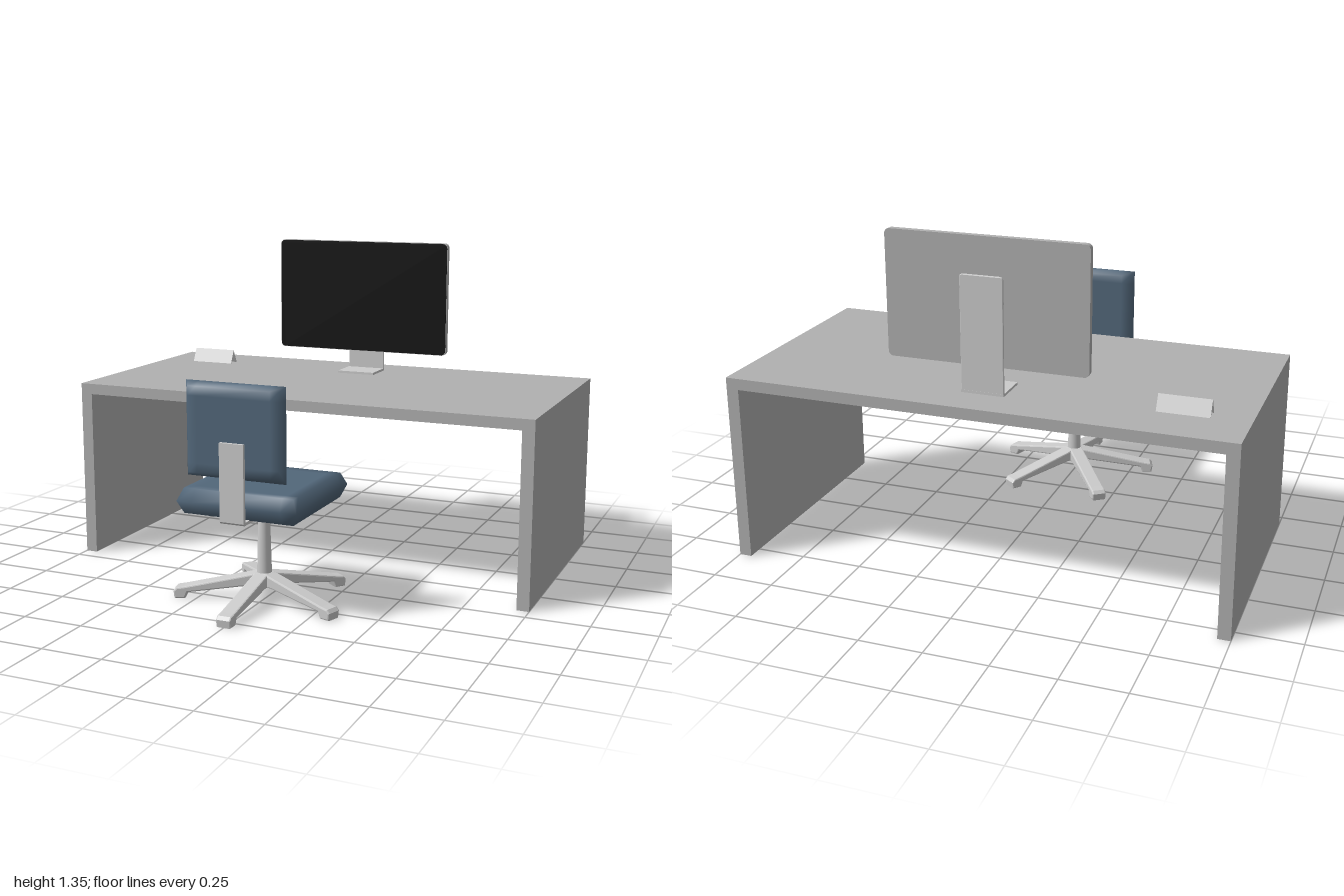
import * as THREE from 'three';
import { mergeVertices } from 'three/addons/utils/BufferGeometryUtils.js';

const grey = new THREE.MeshStandardMaterial({ color: 0xcccccc });
const deskGrey = new THREE.MeshStandardMaterial({ color: 0xb0b0b0 });
const black = new THREE.MeshStandardMaterial({ color: 0x0a0a0a });
const fabric = new THREE.MeshStandardMaterial({ color: 0x52677a });

function add(parent, name, geometry, material, x = 0, y = 0, z = 0) {
  const mesh = new THREE.Mesh(geometry, material);
  mesh.name = name;
  mesh.position.set(x, y, z);
  parent.add(mesh);
  return mesh;
}

// Closed outline extruded symmetrically about its own plane
function slab(outline, depth, bevel = 0) {
  const shape = Array.isArray(outline)
    ? new THREE.Shape(outline.map(([x, y]) => new THREE.Vector2(x, y))) : outline;
  const body = depth - 2 * bevel;
  const geometry = new THREE.ExtrudeGeometry(shape, {
    depth: body, bevelEnabled: bevel > 0, bevelThickness: bevel,
    bevelSize: bevel, bevelOffset: -bevel, bevelSegments: 2, curveSegments: 6,
  });
  return geometry.translate(0, 0, -body / 2);
}

// Side profile given as [z, y], extruded across x
const sideSlab = (outline, width) =>
  slab(outline.map(([z, y]) => [-z, y]), width).rotateY(Math.PI / 2);

function roundedRect(w, h, r) {
  const x = w / 2, y = h / 2, s = new THREE.Shape();
  s.absarc(x - r, y - r, r, 0, Math.PI / 2);
  s.absarc(r - x, y - r, r, Math.PI / 2, Math.PI);
  s.absarc(r - x, r - y, r, Math.PI, Math.PI * 1.5);
  s.absarc(x - r, r - y, r, Math.PI * 1.5, Math.PI * 2);
  return s;
}

// Soft pad: widest at mid height, flat centre, smooth border
function cushion(w, h, d, inset) {
  const geometry = new THREE.BoxGeometry(w, h, d, 3, 2, 3);
  const p = geometry.attributes.position;
  const place = (v, size, flat) => {
    const outer = Math.abs(v) > size * 0.4;
    const half = size / 2 - (outer ? (flat ? inset : 0) : inset * 3);
    return Math.sign(v) * half;
  };
  for (let i = 0; i < p.count; i++) {
    const flat = Math.abs(p.getY(i)) > h * 0.4;
    p.setX(i, place(p.getX(i), w, flat));
    p.setZ(i, place(p.getZ(i), d, flat));
  }
  geometry.deleteAttribute('normal');
  geometry.deleteAttribute('uv');
  const smooth = mergeVertices(geometry);
  smooth.computeVertexNormals();
  return smooth;
}

function createDesk() {
  const desk = new THREE.Group();
  desk.name = 'desk';
  const outline = [[-1, 0], [-0.95, 0], [-0.95, 0.71], [0.95, 0.71],
    [0.95, 0], [1, 0], [1, 0.755], [-1, 0.755]];
  add(desk, 'deskFrame', slab(outline, 1), deskGrey, 0, 0, -0.315);
  return desk;
}

function createMonitor() {
  const monitor = new THREE.Group();
  monitor.name = 'monitor';
  add(monitor, 'monitorCase', slab(roundedRect(0.8, 0.495, 0.02), 0.026), deskGrey, 0, 1.098, -0.602);
  add(monitor, 'screen', slab(roundedRect(0.796, 0.491, 0.02), 0.003), black, 0, 1.098, -0.588);
  add(monitor, 'standFoot', new THREE.BoxGeometry(0.17, 0.01, 0.145), grey, 0, 0.76, -0.588);
  add(monitor, 'standUpright', slab(roundedRect(0.17, 0.455, 0.012), 0.01, 0.003), grey, 0, 0.983, -0.655);
  const mount = new THREE.CylinderGeometry(0.072, 0.038, 0.037, 32).rotateX(Math.PI / 2);
  add(monitor, 'mount', mount, grey, 0, 1.1, -0.633);
  return monitor;
}

function createChair() {
  const chair = new THREE.Group();
  chair.name = 'chair';
  chair.position.z = 0.45;

  // Five-legged base
  const legOutline = [[0, 0.06], [0.06, 0.06], [0.305, 0.025], [0.315, 0],
    [0.358, 0], [0.362, 0.03], [0.35, 0.043], [0.32, 0.048], [0.03, 0.112], [0, 0.114]];
  const legGeometry = slab(legOutline, 0.062, 0.006);
  for (let i = 0; i < 5; i++) {
    const leg = add(chair, 'baseLeg', legGeometry, grey);
    leg.rotation.y = -Math.PI / 2 + (i * Math.PI * 2) / 5;
  }
  add(chair, 'column', new THREE.CylinderGeometry(0.022, 0.031, 0.32, 24), grey, 0, 0.22, 0);

  // Bent bracket from under the seat up to the backrest
  const bracket = [[-0.07, 0.375], [0.272, 0.375], [0.28, 0.383], [0.28, 0.685],
    [0.266, 0.685], [0.266, 0.387], [-0.07, 0.387]];
  add(chair, 'backBracket', sideSlab(bracket, 0.1), grey);

  add(chair, 'seat', cushion(0.5, 0.1, 0.5, 0.022), fabric, 0, 0.435, 0);
  const back = add(chair, 'backrest', cushion(0.41, 0.056, 0.365, 0.018), fabric, 0, 0.723, 0.237);
  back.rotation.x = Math.PI / 2;
  return chair;
}

export function createModel() {
  const model = new THREE.Group();
  model.name = 'workstation';
  model.add(createDesk(), createMonitor(), createChair());

  // Folded desk sign
  const fold = [[-0.03, 0], [-0.026, 0], [0, 0.054], [0.026, 0], [0.03, 0], [0, 0.06]];
  add(model, 'deskSign', sideSlab(fold, 0.2), grey, -0.75, 0.755, -0.585);
  return model;
}
